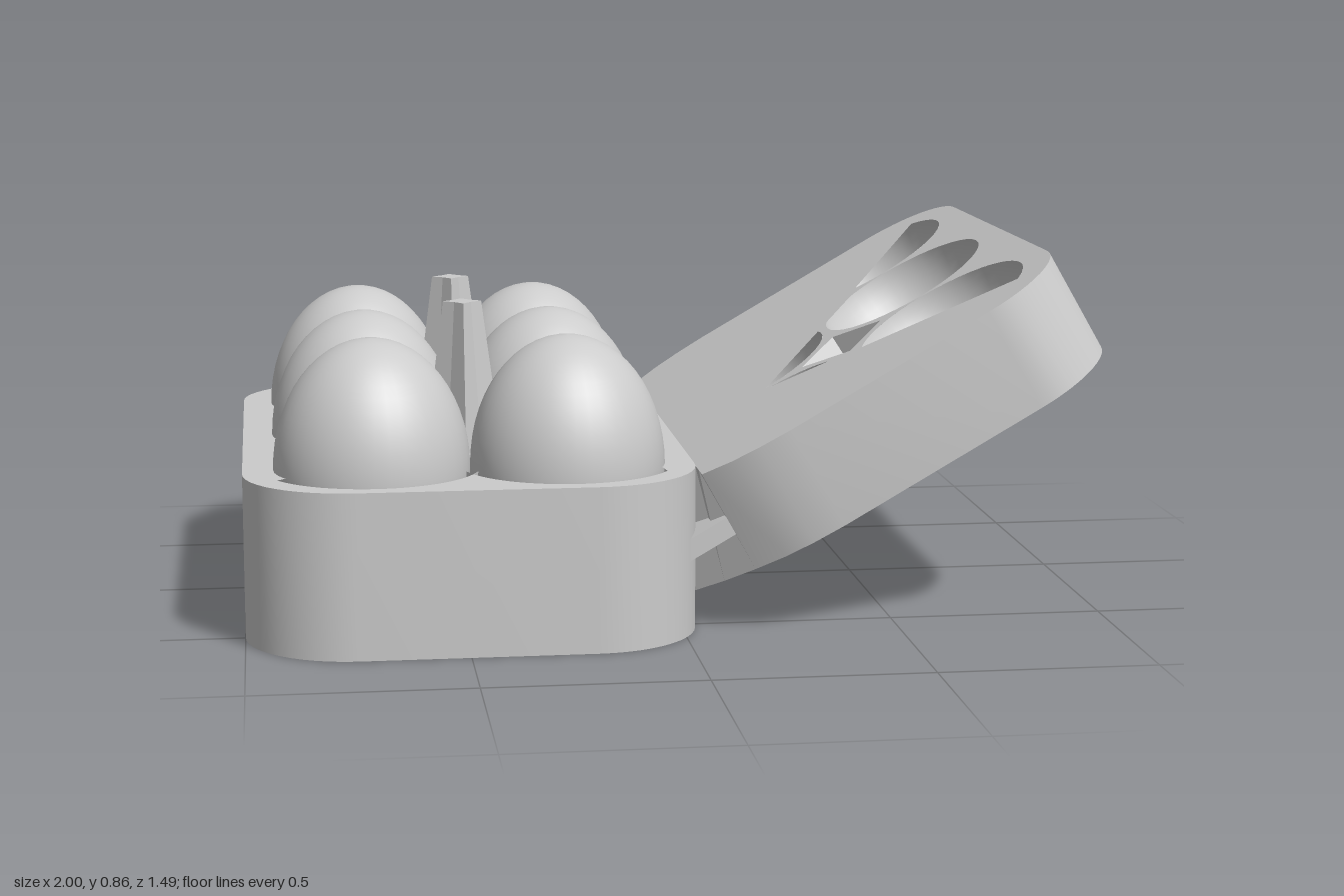
import * as THREE from 'three';
import { mergeGeometries, toCreasedNormals } from 'three/addons/utils/BufferGeometryUtils.js';

const mat = new THREE.MeshStandardMaterial({ color: 0xcccccc, side: THREE.DoubleSide });
const rad = THREE.MathUtils.degToRad;

// Points along a circular arc in plan (x, z), angles in degrees
function arc(cx, cz, r, from, to, n = 20) {
  return Array.from({ length: n + 1 }, (_, i) => {
    const a = rad(from + (to - from) * i / n);
    return [cx + r * Math.cos(a), cz + r * Math.sin(a)];
  });
}

// Plan points (x, z) become shape points with y = -z
const toVectors = pts => pts.map(([x, z]) => new THREE.Vector2(x, -z));

// Hollow tray: floor, side wall and a deck pierced by holes
function tray(outline, holes, height) {
  const deckShape = new THREE.Shape(toVectors(outline));
  deckShape.holes = holes.map(h => new THREE.Path(toVectors(h)));
  const plain = new THREE.Shape(toVectors(outline));
  const solid = new THREE.ExtrudeGeometry(plain, { depth: height, bevelEnabled: false });
  const side = new THREE.BufferGeometry();
  const start = solid.groups[1].start * 3;
  side.setAttribute('position', new THREE.BufferAttribute(solid.attributes.position.array.slice(start), 3));
  const deck = new THREE.ShapeGeometry(deckShape).toNonIndexed().translate(0, 0, height);
  const floor = new THREE.ShapeGeometry(plain).rotateX(Math.PI).scale(1, -1, 1);
  const index = floor.index.array; // mirrored, so reverse the winding
  for (let i = 0; i < index.length; i += 3) [index[i], index[i + 1]] = [index[i + 1], index[i]];
  const parts = [side, deck, floor.toNonIndexed()];
  for (const g of parts) { g.deleteAttribute('normal'); g.deleteAttribute('uv'); }
  return mergeGeometries(parts).rotateX(-Math.PI / 2);
}

// Rounded hollow that sinks below a deck
function bowl(r, depth) {
  return new THREE.SphereGeometry(r, 40, 14, 0, Math.PI * 2, Math.PI / 2, Math.PI / 2).scale(1, depth / r, 1);
}

// Egg: a sphere drawn out taller above its widest ring
function eggGeometry() {
  const g = new THREE.SphereGeometry(0.225, 40, 28);
  const p = g.attributes.position;
  for (let i = 0; i < p.count; i++) p.setY(i, p.getY(i) * (p.getY(i) > 0 ? 1.335 : 1.05));
  g.computeVertexNormals();
  return g;
}

// Tapered divider with a four-pointed, concave section
function postGeometry() {
  const h = 0.51;
  const g = new THREE.CylinderGeometry(0.045, 0.112, h, 8).toNonIndexed();
  const p = g.attributes.position;
  for (let i = 0; i < p.count; i++) {
    const x = p.getX(i), z = p.getZ(i);
    if (Math.min(Math.abs(x), Math.abs(z)) > 0.01) {
      p.setX(i, x * 0.62);
      p.setZ(i, z * 0.62);
    }
  }
  g.translate(0, h / 2, 0).computeVertexNormals();
  return g;
}

export function createModel() {
  const model = new THREE.Group();
  model.name = 'eggCarton';
  const add = (parent, name, geometry, x = 0, y = 0, z = 0) => {
    const m = new THREE.Mesh(geometry, mat);
    m.name = name;
    m.position.set(x, y, z);
    parent.add(m);
    return m;
  };

  // Base tray with rounded corners and the open front cups
  const L = -1, R = 0.035, H = 0.745, c = 0.25, top = 0.38;
  const cols = [-0.705, -0.255], rows = [-0.4525, 0, 0.4525];
  const outline = [
    ...arc(R - c, H - c, c, 0, 90, 12), ...arc(L + c, H - c, c, 90, 180, 12),
    ...arc(L + c, -H + c, c, 180, 270, 12), ...arc(R - c, -H + c, c, 270, 360, 12),
  ];
  const cupHole = [
    ...arc(cols[0], rows[2], 0.25, 150, 25.8), ...arc(cols[1], rows[2], 0.25, 154, 30),
    ...arc(cols[1], rows[2], 0.25, -45, -154), ...arc(cols[0], rows[2], 0.25, -26, -60, 6),
  ];
  add(model, 'base', toCreasedNormals(tray(outline, [cupHole], top), 0.5));
  const cup = bowl(0.25, 0.28);
  for (const x of cols) add(model, 'eggCup', cup, x, top, rows[2]);

  // Eggs
  const egg = eggGeometry();
  for (const x of cols) for (const z of rows) add(model, 'egg', egg, x, top, z);

  // Divider posts between the eggs
  const post = postGeometry();
  for (const z of [-0.226, 0.226]) add(model, 'dividerPost', post, -0.48, 0.22, z);

  // Lid, tilted open; its deck is local y = 0 and its far edge local x = 0
  const lid = new THREE.Group();
  lid.name = 'lid';
  lid.position.set(0.87, 0.855, -0.03);
  lid.rotation.z = Math.PI / 6;
  model.add(lid);
  const thick = 0.257, half = 0.7, lc = 0.22;
  const nearCorner = [[-0.74, 0.7], [-0.82, 0.69], [-0.89, 0.67], [-0.965, 0.63], [-1.04, 0.58], [-1.115, 0.52]];
  const lidOutline = [
    ...arc(-lc, half - lc, lc, 0, 90, 12), ...nearCorner,
    ...nearCorner.map(([x, z]) => [x, -z]).reverse(), ...arc(-lc, lc - half, lc, 270, 360, 12),
  ];
  // Hollows: centre x, centre z, and the arc that opens through the deck
  const hollows = [
    [-0.277, 0, 0, 351], [-0.277, -0.44, -38, 112], [-0.277, 0.44, -158, 37],
    [-0.727, 0, -12, 90], [-0.727, 0.44, -84, -38],
  ];
  const px = -0.502, pz = 0.22, pr = 0.11;
  const lidHoles = hollows.map(([x, z, a, b]) => arc(x, z, 0.215, a, b, 39));
  lidHoles.push(arc(px, pz, pr, 0, 270, 3));
  const shell = tray(lidOutline, lidHoles, thick).translate(0, -thick, 0);
  // Trim the hinge end to a vertical plane against the base
  const p = shell.attributes.position, cos = Math.cos(Math.PI / 6);
  for (let i = 0; i < p.count; i++) {
    const limit = (0.037 - 0.87 + p.getY(i) * 0.5) / cos;
    p.setX(i, Math.max(p.getX(i), limit));
  }
  add(lid, 'lidShell', toCreasedNormals(shell, 0.5));
  const lidBowl = bowl(0.215, 0.2);
  for (const [x, z] of hollows) add(lid, 'lidHollow', lidBowl, x, 0, z);
  const pocket = new THREE.ConeGeometry(pr, 0.18, 4, 1, true).rotateX(Math.PI).toNonIndexed();
  pocket.computeVertexNormals();
  add(lid, 'postPocket', pocket, px, -0.09, pz);

  // Hinge strip joining lid and base
  const hinge = add(model, 'hinge', new THREE.BoxGeometry(0.16, 0.045, 1.26), 0.058, 0.225, -0.03);
  hinge.rotation.z = Math.PI / 6;
  return model;
}
